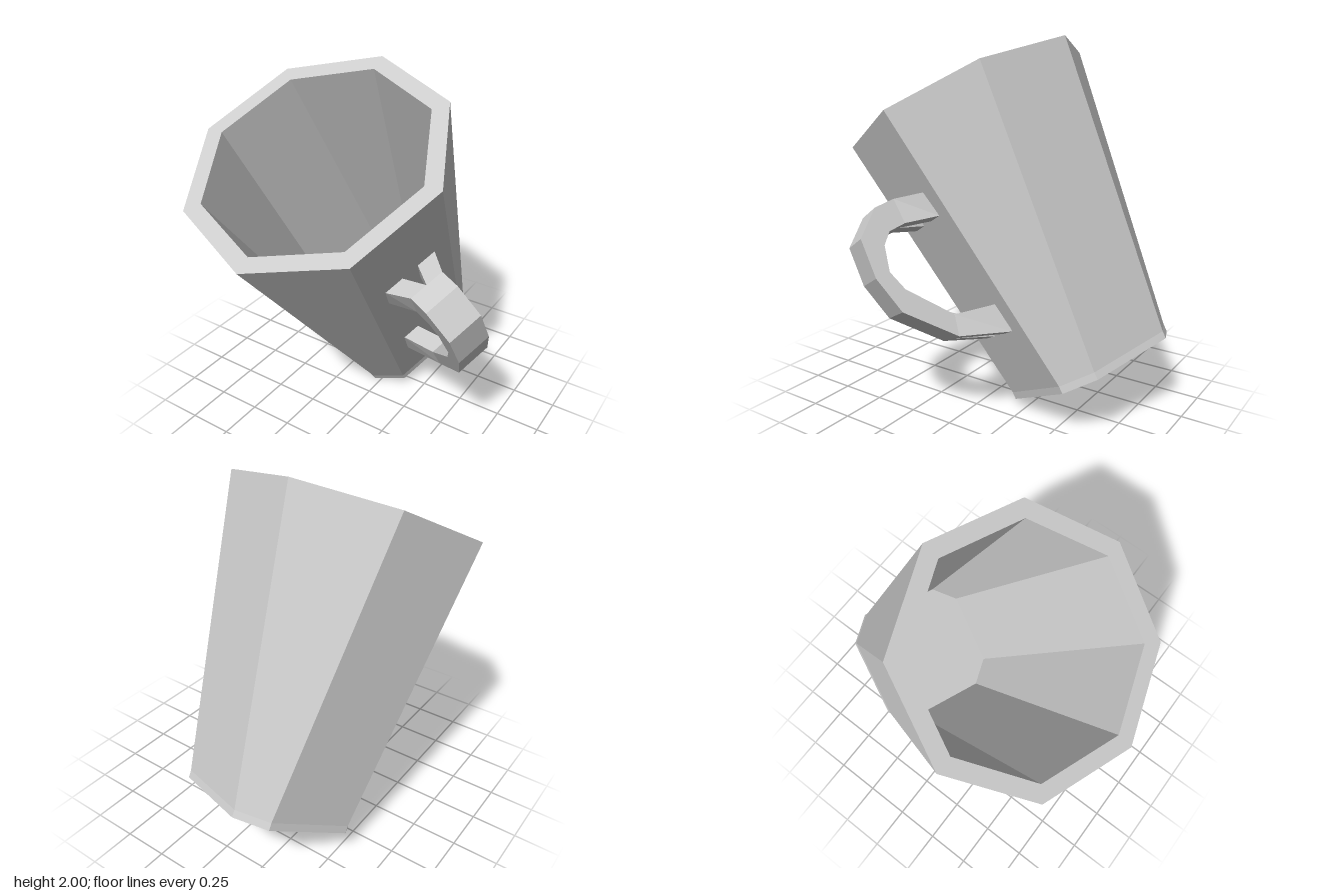
import * as THREE from 'three';

const material = new THREE.MeshStandardMaterial({ color: 0xcccccc, flatShading: true });
const rad = THREE.MathUtils.degToRad;

// Skin rings of equal point count; each ring runs counterclockwise seen from the far end.
function loft(name, rings, capStart = false, capEnd = false) {
  const pos = [];
  const tri = (a, b, c) => pos.push(...a, ...b, ...c);
  const n = rings[0].length;
  for (let j = 0; j < rings.length - 1; j++) {
    const a = rings[j], b = rings[j + 1];
    for (let i = 0; i < n; i++) {
      const k = (i + 1) % n;
      tri(a[i], a[k], b[k]);
      tri(a[i], b[k], b[i]);
    }
  }
  const first = rings[0], last = rings[rings.length - 1];
  for (let i = 1; i < n - 1; i++) {
    if (capStart) tri(first[0], first[i + 1], first[i]);
    if (capEnd) tri(last[0], last[i], last[i + 1]);
  }
  const geometry = new THREE.BufferGeometry();
  geometry.setAttribute('position', new THREE.Float32BufferAttribute(pos, 3));
  geometry.computeVertexNormals();
  const mesh = new THREE.Mesh(geometry, material);
  mesh.name = name;
  return mesh;
}

// Octagon whose corners are drawn together in pairs by `twist` degrees.
function octagon(radius, y, twist) {
  return Array.from({ length: 8 }, (_, i) => {
    const a = rad(i * 45 + (i % 2 ? -twist : twist));
    return [radius * Math.sin(a), y, radius * Math.cos(a)];
  });
}

// Rectangular handle section between an outer and an inner profile point.
function section([[ox, oy], [ix, iy]], z0, z1) {
  return [[ox, oy, z0], [ox, oy, z1], [ix, iy, z1], [ix, iy, z0]];
}

export function createModel() {
  const model = new THREE.Group();
  model.name = 'mug';

  // Everything leans forward by 30 degrees
  const tilted = new THREE.Group();
  tilted.name = 'tiltedMug';
  tilted.rotation.x = rad(30);
  tilted.position.set(-0.12, 0.228, -0.515);
  model.add(tilted);

  // Cup: underside, foot band, outer wall, rim, inner wall, floor
  const twist = 10.3;
  tilted.add(loft('cup', [
    octagon(0, 0, 0),
    octagon(0.458, 0, twist),
    octagon(0.458, 0.04, twist),
    octagon(0.705, 1.637, 0),
    octagon(0.61, 1.637, 0),
    octagon(0.415, 0.04, twist),
    octagon(0, 0.04, 0),
  ]));

  // Handle, centred on one wide face of the cup
  const handle = new THREE.Group();
  handle.name = 'handle';
  handle.rotation.y = rad(-22.5);
  tilted.add(handle);

  // Pairs of [outer, inner] points as [distance from axis, height]
  const upperTip = [[0.585, 1.205], [0.555, 1.065]];
  const lowerTip = [[0.455, 0.54], [0.444, 0.38]].reverse();
  const bow = [
    [[0.72, 1.235], [0.717, 1.1]],
    [[0.83, 1.226], [0.81, 1.09]],
    [[0.963, 1.106], [0.864, 1.035]],
    [[0.974, 0.9], [0.896, 0.904]],
    [[0.92, 0.7], [0.858, 0.797]],
    [[0.7, 0.475], [0.674, 0.583]],
  ];
  const half = 0.1;
  handle.add(loft('handleBow', bow.map((p) => section(p, -half, half))));

  // Forked ends: two spreading prongs at the top and two at the bottom
  for (const side of [1, -1]) {
    const span = (p, a, b) => section(p, Math.min(side * a, side * b), Math.max(side * a, side * b));
    handle.add(loft('upperProng', [span(upperTip, 0.05, 0.16), span(bow[0], 0, half)], true, false));
    handle.add(loft('lowerProng', [span(bow[bow.length - 1], 0, half), span(lowerTip, 0.05, 0.15)], false, true));
  }

  return model;
}
